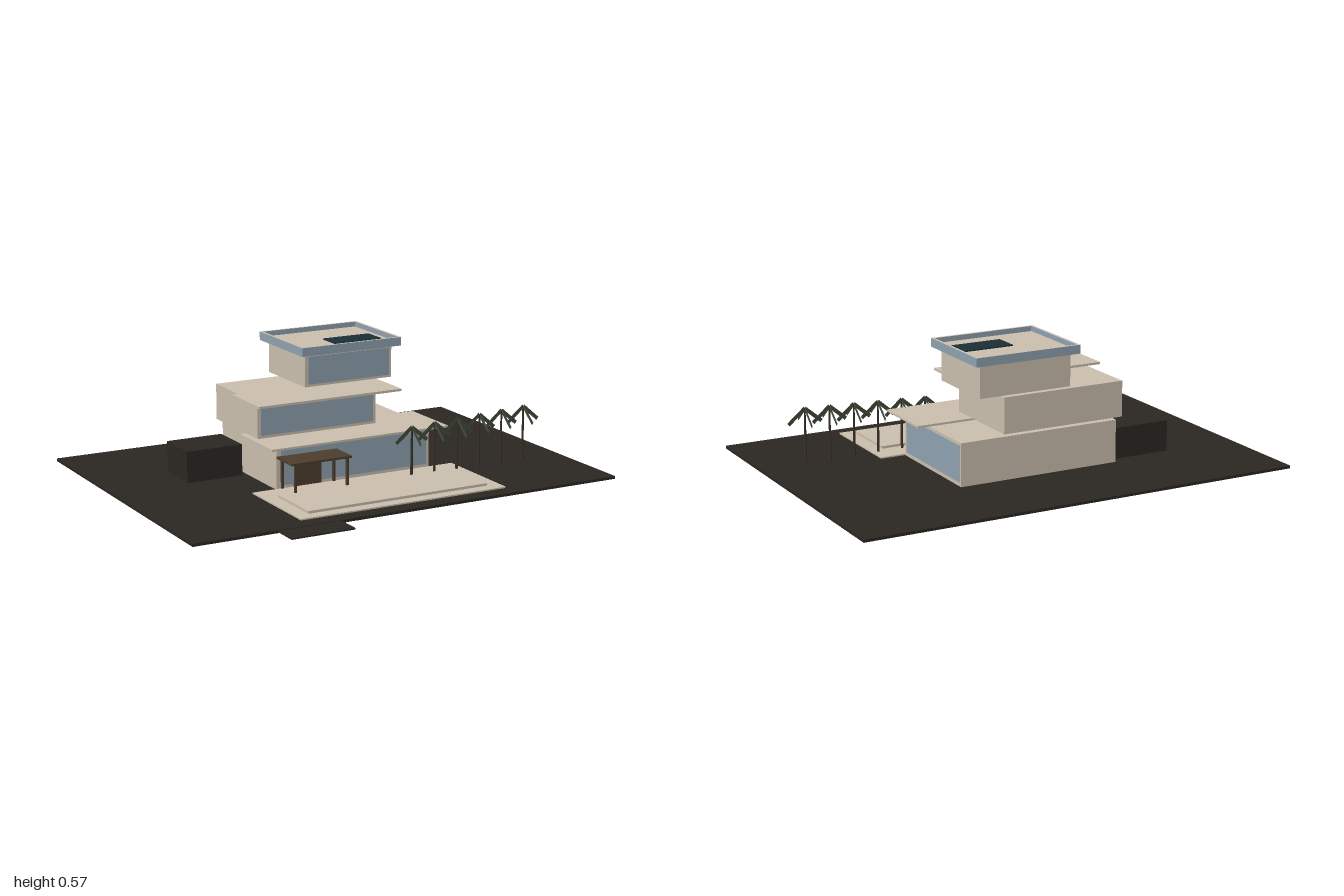
import * as THREE from 'three';

const mat = (color, side = THREE.FrontSide) => new THREE.MeshStandardMaterial({ color, side });

export function createModel() {
  const model = new THREE.Group();
  const stone = mat(0xcbbfae), glass = mat(0x8ea2b0), dark = mat(0x2b2723);
  const wood = mat(0x4d3d2d), solar = mat(0x1b2e36), bark = mat(0x3a2f26);
  const leaf = mat(0x434a38, THREE.DoubleSide);

  // Box given by its limits on each axis
  const box = (name, material, [x0, x1], [y0, y1], [z0, z1], parent = model) => {
    const mesh = new THREE.Mesh(new THREE.BoxGeometry(x1 - x0, y1 - y0, z1 - z0), material);
    mesh.position.set((x0 + x1) / 2, (y0 + y1) / 2, (z0 + z1) / 2);
    mesh.name = name;
    parent.add(mesh);
    return mesh;
  };

  // Site
  box('ground', dark, [-1, 1], [0, 0.012], [-0.775, 0.655]);
  box('driveway', dark, [-0.63, -0.345], [0.004, 0.01], [0.3, 0.77]);
  box('garage', dark, [-0.66, -0.4], [0.01, 0.15], [-0.335, -0.13]);
  box('poolDeck', stone, [-0.49, 0.485], [0.01, 0.018], [0.15, 0.583]);
  box('pool', stone, [-0.43, 0.425], [0.016, 0.029], [0.266, 0.532]);

  // Three stacked storeys with glazed fronts
  box('groundFloor', stone, [-0.375, 0.37], [0.01, 0.2], [-0.372, 0.145]);
  box('groundFrontGlass', glass, [-0.355, 0.355], [0.03, 0.187], [0.14, 0.148]);
  box('groundSideGlass', glass, [0.365, 0.373], [0.03, 0.187], [-0.358, 0.13]);
  box('lowerCanopy', stone, [-0.43, 0.425], [0.2, 0.209], [-0.087, 0.212]);

  box('middleFloor', stone, [-0.404, 0.168], [0.21, 0.368], [-0.372, 0.03]);
  box('middleFrontGlass', glass, [-0.39, 0.155], [0.222, 0.358], [0.025, 0.033]);
  box('upperCanopy', stone, [-0.46, 0.225], [0.373, 0.383], [-0.1, 0.155]);

  box('topFloor', stone, [-0.13, 0.297], [0.385, 0.53], [-0.4, -0.058]);
  box('topFrontGlass', glass, [-0.115, 0.284], [0.396, 0.518], [-0.063, -0.055]);

  // Roof with a glass parapet and a dark panel
  box('roof', stone, [-0.15, 0.318], [0.528, 0.544], [-0.42, -0.036]);
  const rim = new THREE.Shape();
  rim.moveTo(-0.16, -0.43).lineTo(0.328, -0.43).lineTo(0.328, -0.026).lineTo(-0.16, -0.026).closePath();
  const hole = new THREE.Path();
  hole.moveTo(-0.148, -0.418).lineTo(-0.148, -0.038).lineTo(0.316, -0.038).lineTo(0.316, -0.418).closePath();
  rim.holes.push(hole);
  const rimGeometry = new THREE.ExtrudeGeometry(rim, { depth: 0.038, bevelEnabled: false });
  rimGeometry.rotateX(Math.PI / 2);
  const parapet = new THREE.Mesh(rimGeometry, [stone, glass]);
  parapet.name = 'parapet';
  parapet.position.y = 0.566;
  model.add(parapet);
  box('roofPanel', solar, [0.052, 0.282], [0.543, 0.549], [-0.235, -0.12]);

  // Entrance
  box('door', wood, [-0.295, -0.165], [0.012, 0.12], [0.143, 0.151]);
  const porch = new THREE.Group();
  porch.name = 'porch';
  model.add(porch);
  box('porchRoof', wood, [-0.375, -0.09], [0.148, 0.157], [0.145, 0.284], porch);
  for (const x of [-0.352, -0.106]) for (const z of [0.153, 0.272])
    box('porchPost', wood, [x - 0.005, x + 0.005], [0.012, 0.15], [z - 0.005, z + 0.005], porch);

  // Row of palms, each slightly taller than the last
  const frondGeometry = new THREE.PlaneGeometry(0.1, 0.017);
  frondGeometry.translate(0.05, 0, 0).rotateZ(-0.7);
  for (let i = 0; i < 6; i++) {
    const palm = new THREE.Group();
    palm.name = 'palm';
    palm.position.set(0.227 + i * 0.114, 0.01, 0.24);
    const height = 0.222 + i * 0.005;
    const trunk = new THREE.Mesh(new THREE.CylinderGeometry(0.004, 0.006, height, 8), bark);
    trunk.name = 'trunk';
    trunk.position.y = height / 2;
    palm.add(trunk);
    for (let k = 0; k < 4; k++) {
      const frond = new THREE.Mesh(frondGeometry, leaf);
      frond.name = 'frond';
      frond.position.y = height;
      frond.rotation.y = k * Math.PI / 2;
      palm.add(frond);
    }
    model.add(palm);
  }
  return model;
}
